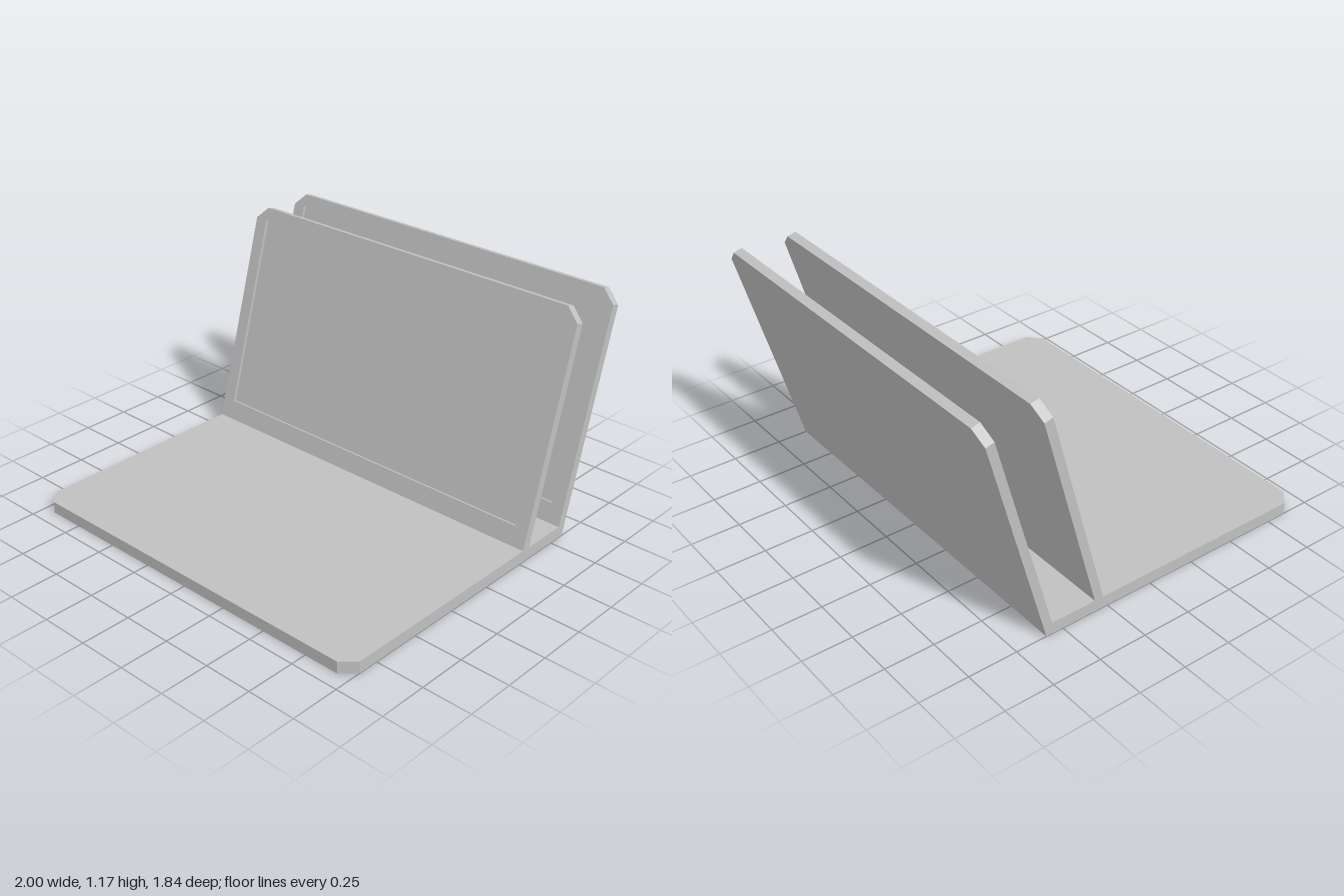
import * as THREE from 'three';

const RECESS = 0.016; // depth of every sunken panel
const TILT = Math.atan(0.315 / 1.11); // backward lean of the screens

const grey = new THREE.MeshStandardMaterial({ color: 0xc0c0c0 });
grey.name = 'plain grey';

// Slab outline in x/y with the two corners at y1 cut off
function cutOutline(y0, y1, cut) {
  const s = Math.sign(y1 - y0);
  return [[-1, y0], [1, y0], [1, y1 - s * cut], [0.933, y1], [-0.933, y1], [-1, y1 - s * cut]]
    .map(([x, y]) => new THREE.Vector2(x, y));
}

function rectHole([w, y0, y1]) {
  return new THREE.Path([[-w, y0], [-w, y1], [w, y1], [w, y0]].map(([x, y]) => new THREE.Vector2(x, y)));
}

// Solid backing below a front layer pierced by holes; front surface lies at z = 0
function recessedSlab(outline, holes, thickness) {
  const layer = (depth, z, cuts) => {
    const shape = new THREE.Shape(outline);
    shape.holes = cuts.map(rectHole);
    return new THREE.ExtrudeGeometry(shape, { depth, bevelEnabled: false }).translate(0, 0, z);
  };
  return {
    backing: layer(thickness - RECESS, -thickness, []),
    surface: layer(RECESS, -RECESS, holes),
  };
}

function addMesh(parent, geometry, name) {
  const mesh = new THREE.Mesh(geometry, grey);
  mesh.name = name;
  parent.add(mesh);
}

// Screen panel with a sunken display, hinged at z
function makeScreen(name, z, start) {
  const lid = new THREE.Group();
  lid.name = name;
  const { backing, surface } = recessedSlab(cutOutline(start, 1.216, 0.065), [[0.933, 0.161, 1.154]], 0.045);
  addMesh(lid, backing, name + 'Back');
  addMesh(lid, surface, name + 'Bezel');
  lid.rotation.x = -TILT;
  lid.position.z = z;
  return lid;
}

// Flat base with keyboard, middle panel, slot and touchpad recesses
function makeBase() {
  const base = new THREE.Group();
  base.name = 'base';
  const holes = [
    [0.77, -0.15, 0.21],
    [0.285, -0.46, -0.277],
    [0.285, -0.595, -0.57],
    [0.285, -0.885, -0.67],
  ];
  const parts = recessedSlab(cutOutline(0.59, -0.92, 0.065), holes, 0.06);
  for (const [key, name] of [['backing', 'baseUnderside'], ['surface', 'keyboardDeck']]) {
    const geometry = parts[key].rotateX(-Math.PI / 2).translate(0, 0.06, 0);
    // Slant the rear edge to run along the back screen
    const p = geometry.attributes.position;
    for (let i = 0; i < p.count; i++) {
      if (p.getZ(i) < -0.58) p.setZ(i, p.getZ(i) - 0.2 * p.getY(i));
    }
    geometry.computeVertexNormals();
    addMesh(base, geometry, name);
  }
  return base;
}

export function createModel() {
  const model = new THREE.Group();
  model.name = 'twoScreenLaptop';
  model.add(makeBase());
  model.add(makeScreen('frontScreen', -0.258, 0.03));
  model.add(makeScreen('rearScreen', -0.543, 0.0128));
  return model;
}
